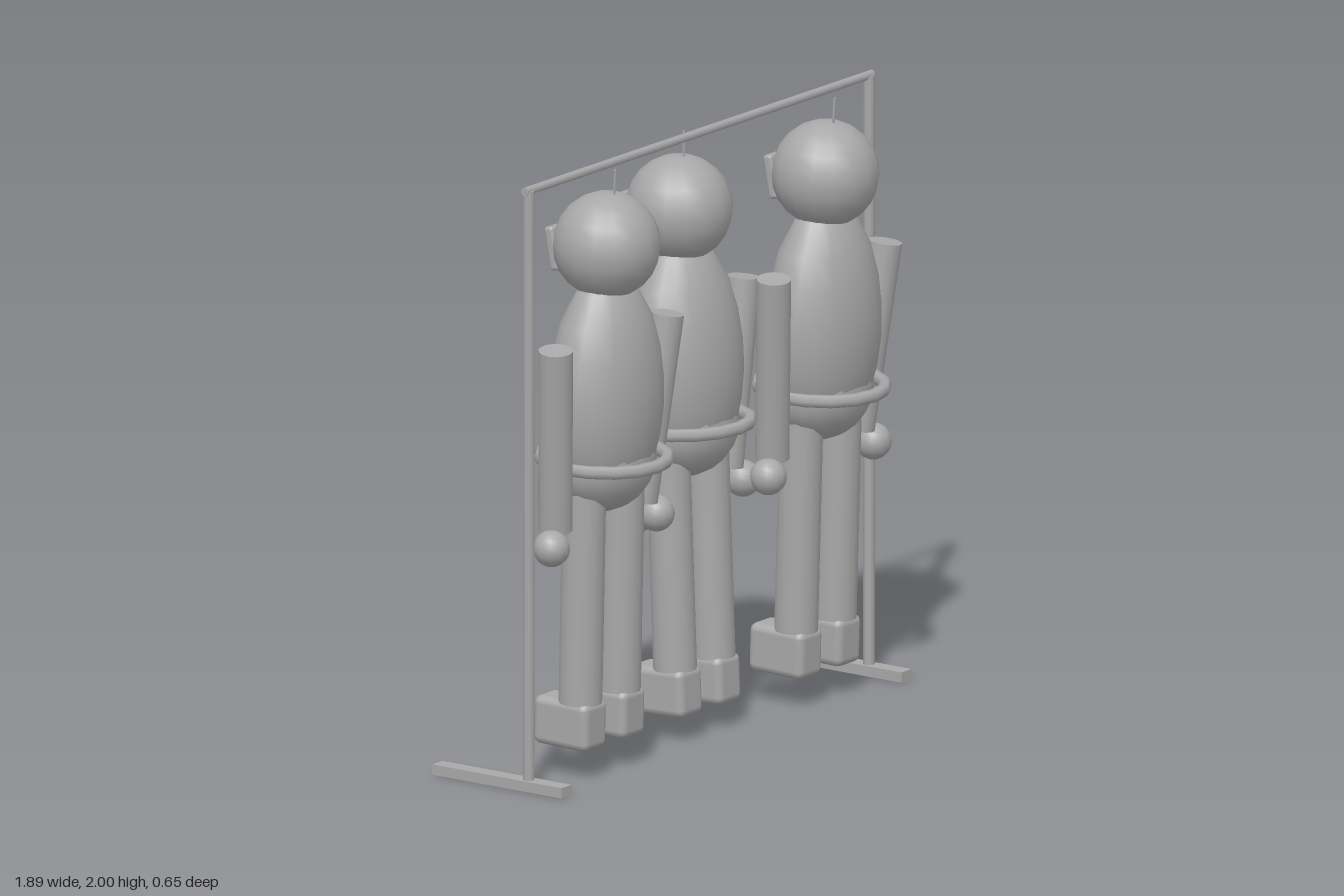
import * as THREE from 'three';
import { RoundedBoxGeometry } from 'three/addons/geometries/RoundedBoxGeometry.js';

const grey = new THREE.MeshStandardMaterial({ color: 0xa8a8a8 });
grey.name = 'plain grey';

function add(parent, name, geometry, x = 0, y = 0, z = 0) {
  const mesh = new THREE.Mesh(geometry, grey);
  mesh.name = name;
  mesh.position.set(x, y, z);
  parent.add(mesh);
  return mesh;
}

// Cylinder running between two points
function rod(parent, name, from, to, radius, sides) {
  const a = new THREE.Vector3(...from), b = new THREE.Vector3(...to);
  const dir = b.clone().sub(a);
  const mesh = add(parent, name, new THREE.CylinderGeometry(radius, radius, dir.length(), sides));
  mesh.position.copy(a).add(b).multiplyScalar(0.5);
  mesh.quaternion.setFromUnitVectors(new THREE.Vector3(0, 1, 0), dir.normalize());
  return mesh;
}

const PIVOT = 1.04; // waist height, about which each suit sways

// One hanging suit; its face plate and zip are on the -z side
function createSuit(name, x, dy, z, sway) {
  const suit = new THREE.Group();
  suit.name = name;
  suit.position.set(x, PIVOT + dy, z);
  suit.rotation.x = sway;
  const body = new THREE.Group();
  body.name = 'suitBody';
  body.position.y = -PIVOT;
  suit.add(body);

  // Egg-shaped torso, flattened front to back
  const profile = [
    [0, 0.9], [0.09, 0.91], [0.15, 0.95], [0.195, 1.03], [0.218, 1.11], [0.23, 1.2], [0.228, 1.29],
    [0.213, 1.39], [0.179, 1.5], [0.117, 1.6], [0.06, 1.64], [0, 1.65],
  ].map(([r, y]) => new THREE.Vector2(r, y));
  add(body, 'torso', new THREE.LatheGeometry(profile, 20)).scale.z = 0.72;

  const pelvis = add(body, 'pelvis', new THREE.SphereGeometry(1, 16, 12), 0, 1.03, 0);
  pelvis.scale.set(0.203, 0.163, 0.15);

  const belt = add(body, 'belt', new THREE.TorusGeometry(0.206, 0.022, 6, 16), 0, 1.043, 0);
  belt.rotation.x = Math.PI / 2;

  // Head, face plate and hanging hook
  add(body, 'helmet', new THREE.SphereGeometry(0.175, 16, 12), 0, 1.745, -0.005);
  const visor = new THREE.Group();
  visor.name = 'visorAssembly';
  visor.position.set(0, 1.728, -0.145);
  visor.rotation.x = -0.22;
  body.add(visor);
  add(visor, 'visor', new RoundedBoxGeometry(0.225, 0.145, 0.036, 2, 0.012));
  add(visor, 'visorStud', new THREE.SphereGeometry(0.007, 8, 6), 0, 0, -0.018);
  rod(body, 'hook', [0, 1.89, 0.02], [0, 2.0, 0.024], 0.005, 6);

  add(body, 'zip', new THREE.BoxGeometry(0.024, 0.52, 0.012), 0, 1.2, -0.168);

  // Limbs, mirrored
  for (const s of [-1, 1]) {
    const side = s > 0 ? 'left' : 'right';
    rod(body, side + 'Arm', [s * 0.23, 0.845, -0.02], [s * 0.3, 1.46, 0.02], 0.056, 14);
    add(body, side + 'Hand', new THREE.SphereGeometry(0.06, 12, 10), s * 0.283, 0.797, 0.005);
    rod(body, side + 'Leg', [s * 0.104, 0.25, 0], [s * 0.104, 0.98, 0], 0.071, 16);
    add(body, side + 'Boot', new RoundedBoxGeometry(0.126, 0.16, 0.215, 2, 0.026), s * 0.104, 0.18, -0.04);
  }
  return suit;
}

export function createModel() {
  const model = new THREE.Group();
  model.name = 'suitRack';

  // Rack: top rail, two posts and two floor feet
  const rack = new THREE.Group();
  rack.name = 'rack';
  model.add(rack);
  rod(rack, 'topRail', [-0.936, 1.984, 0.027], [0.936, 1.984, 0.027], 0.015, 8);
  for (const s of [-1, 1]) {
    const side = s > 0 ? 'left' : 'right';
    rod(rack, side + 'Post', [s * 0.917, 0.02, 0.03], [s * 0.917, 1.985, 0.03], 0.019, 8);
    add(rack, side + 'Foot', new THREE.BoxGeometry(0.056, 0.034, 0.514), s * 0.917, 0.021, -0.077);
  }

  // Three suits, each swaying a little differently
  model.add(createSuit('rightSuit', -0.575, 0, 0.077, 0.022));
  model.add(createSuit('middleSuit', 0, -0.018, -0.018, -0.038));
  model.add(createSuit('leftSuit', 0.575, 0, 0.093, 0.03));
  return model;
}
